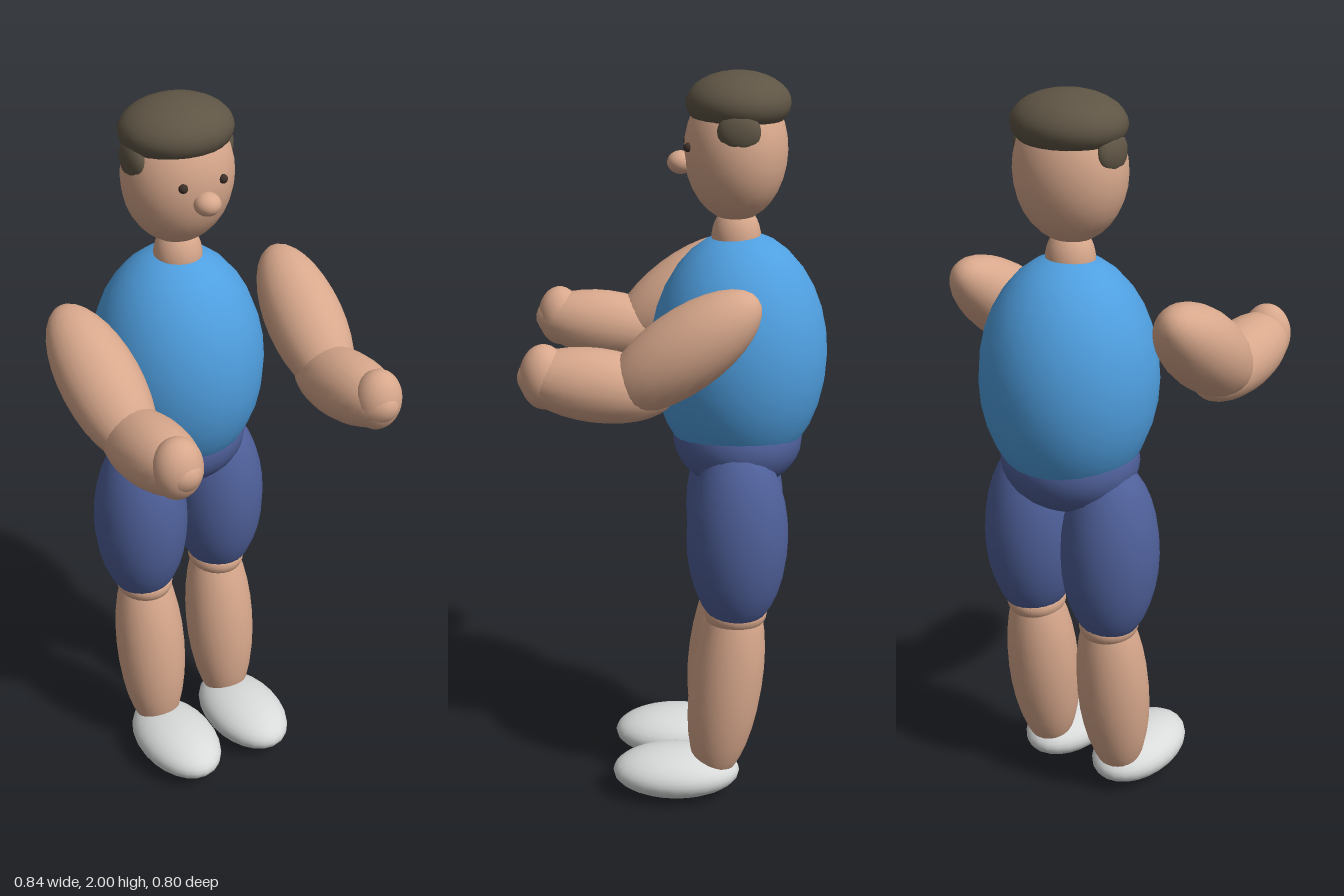
import * as THREE from 'three';

const mat = (name, color) => {
  const m = new THREE.MeshStandardMaterial({ color });
  m.name = name;
  return m;
};

export function createModel() {
  const skin = mat('skin', 0xd8a88c);
  const shirt = mat('shirt blue', 0x4f9fe0);
  const shorts = mat('shorts navy', 0x4f609a);
  const hair = mat('hair brown', 0x5f5545);
  const shoe = mat('shoe grey', 0xd9dbda);
  const eye = mat('eye dark', 0x3d302a);

  const model = new THREE.Group();
  model.name = 'figure';
  const up = new THREE.Vector3(0, 1, 0);

  // Ellipsoid with radii [x, y, z]; its y axis may be turned to point along axis
  function blob(name, material, pos, radii, axis, parent = model) {
    const mesh = new THREE.Mesh(new THREE.SphereGeometry(1, 24, 16), material);
    mesh.name = name;
    mesh.position.set(...pos);
    mesh.scale.set(...radii);
    if (axis) mesh.quaternion.setFromUnitVectors(up, new THREE.Vector3(...axis).normalize());
    parent.add(mesh);
    return mesh;
  }

  // Body
  blob('torso', shirt, [0, 1.26, -0.16], [0.235, 0.33, 0.236]);
  blob('pelvis', shorts, [0, 1.03, -0.16], [0.19, 0.14, 0.175]);
  blob('neck', skin, [0, 1.57, -0.15], [0.065, 0.09, 0.065]);

  // Head
  blob('head', skin, [0, 1.8, -0.147], [0.15, 0.182, 0.134]);
  blob('hair', hair, [0, 1.92, -0.152], [0.151, 0.08, 0.135]);
  blob('nose', skin, [0, 1.768, -0.005], [0.035, 0.03, 0.035]);

  for (const [side, s] of [['left', 1], ['right', -1]]) {
    blob(side + 'Eye', eye, [s * 0.058, 1.815, -0.024], [0.012, 0.012, 0.012]);
    blob(side + 'Sideburn', hair, [s * 0.125, 1.862, -0.15], [0.028, 0.052, 0.055]);

    // Bent arm reaching forward
    const arm = new THREE.Group();
    arm.name = side + 'Arm';
    model.add(arm);
    blob('upperArm', skin, [s * 0.313, 1.35, -0.01], [0.105, 0.232, 0.103], [s * 0.06, 0.6, -0.8], arm);
    blob('forearm', skin, [s * 0.297, 1.26, 0.205], [0.093, 0.2, 0.094], [0, 0.13, 1], arm);
    blob('hand', skin, [s * 0.3, 1.283, 0.336], [0.066, 0.083, 0.061], null, arm);

    // Leg
    const leg = new THREE.Group();
    leg.name = side + 'Leg';
    model.add(leg);
    blob('shortsLeg', shorts, [s * 0.127, 0.78, -0.158], [0.131, 0.268, 0.137], null, leg);
    blob('knee', skin, [s * 0.122, 0.56, -0.156], [0.08, 0.055, 0.086], null, leg);
    blob('calf', skin, [s * 0.12, 0.342, -0.132], [0.1, 0.305, 0.1], [0, 1, -0.13], leg);
    blob('shoe', shoe, [s * 0.118, 0.069, 0.006], [0.112, 0.069, 0.178], null, leg);
  }
  return model;
}
